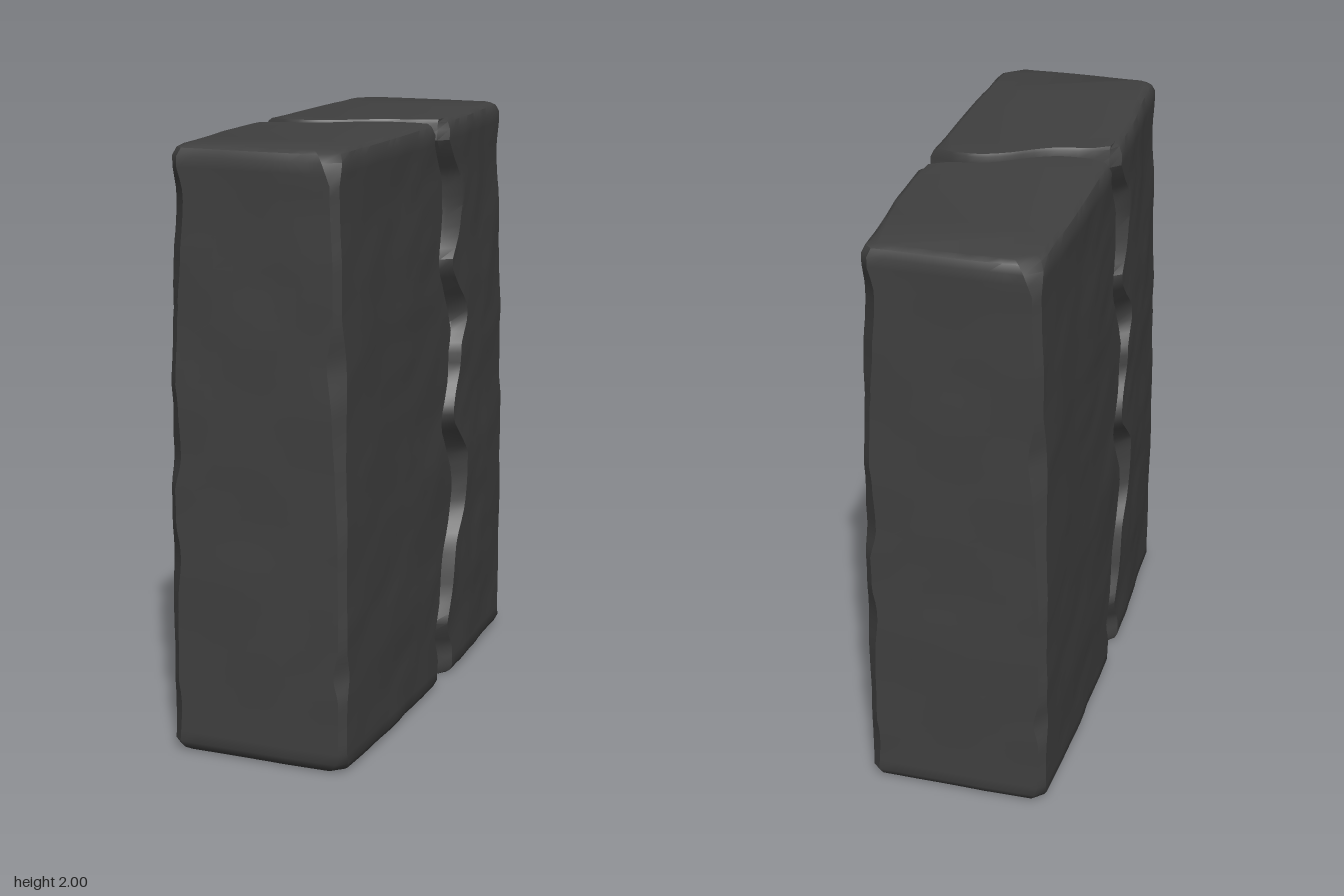
import * as THREE from 'three';
import { toCreasedNormals } from 'three/addons/utils/BufferGeometryUtils.js';

// Crack on the left face: height, z position, width of the broken lip
const CRACK = [
  [0, -0.09, 0.07], [0.1, -0.09, 0.08], [0.2, -0.045, 0.07], [0.3, -0.1, 0.05], [0.4, -0.12, 0.05],
  [0.5, -0.14, 0.06], [0.6, -0.19, 0.1], [0.7, -0.21, 0.1], [0.8, -0.19, 0.12], [0.87, -0.15, 0.09],
  [0.95, -0.1, 0.06], [1.0, -0.12, 0.05], [1.1, -0.18, 0.05], [1.2, -0.19, 0.05], [1.27, -0.225, 0.09],
  [1.33, -0.2, 0.12], [1.4, -0.15, 0.1], [1.5, -0.1, 0.06], [1.6, -0.13, 0.11], [1.7, -0.15, 0.13],
  [1.8, -0.145, 0.11], [1.87, -0.1, 0.08], [1.93, -0.065, 0.07], [2, -0.07, 0.08],
];
const GAP = 0.03;     // half width of the crack
const CORE = 0.17;    // half length of the glowing core

function crackAt(y) {
  let i = 0;
  while (i < CRACK.length - 2 && CRACK[i + 1][0] < y) i++;
  const [a, b] = [CRACK[i], CRACK[i + 1]];
  const t = THREE.MathUtils.clamp((y - a[0]) / (b[0] - a[0]), 0, 1);
  return { z: a[1] + (b[1] - a[1]) * t, lip: a[2] + (b[2] - a[2]) * t };
}

// Smooth seeded noise, -1 to 1
function hash(x, y, z) {
  const s = Math.sin(x * 127.1 + y * 311.7 + z * 74.7) * 43758.5453;
  return (s - Math.floor(s)) * 2 - 1;
}
function noise(x, y, z) {
  const i = [x, y, z].map(Math.floor);
  const f = [x - i[0], y - i[1], z - i[2]].map((t) => t * t * (3 - 2 * t));
  let sum = 0;
  for (let k = 0; k < 8; k++) {
    const c = [k & 1, (k >> 1) & 1, k >> 2];
    const w = c.reduce((p, on, n) => p * (on ? f[n] : 1 - f[n]), 1);
    sum += w * hash(i[0] + c[0], i[1] + c[1], i[2] + c[2]);
  }
  return sum;
}

// Skin a stack of closed loops (counter-clockwise from above) and cap both ends
function loft(loops) {
  const n = loops[0].length;
  const index = [];
  for (let r = 0; r < loops.length - 1; r++) {
    for (let j = 0; j < n; j++) {
      const k = (j + 1) % n;
      const a = r * n + j, b = r * n + k;
      index.push(a, b, b + n, a, b + n, a + n);
    }
  }
  const cap = (r, flip) => {
    const outline = loops[r].map((p) => new THREE.Vector2(p[0], -p[2]));
    for (const [a, b, c] of THREE.ShapeUtils.triangulateShape(outline, [])) {
      index.push(r * n + a, r * n + (flip ? c : b), r * n + (flip ? b : c));
    }
  };
  cap(0, true);
  cap(loops.length - 1, false);
  const g = new THREE.BufferGeometry();
  g.setAttribute('position', new THREE.Float32BufferAttribute(loops.flat(2), 3));
  g.setIndex(index);
  return toCreasedNormals(g, 0.6);
}

const pathZ = (x, zc) => zc * Math.sin((Math.PI / 2) * THREE.MathUtils.clamp(x / CORE, -1, 1));

// One horizontal section of the front half; edge = 1 at the bevelled top and bottom
function halfSection(y, edge) {
  const { z: zc, lip } = crackAt(y);
  const inset = 0.028 * edge;
  const width = 0.322 - 0.025 * Math.max(0, (y - 0.8) / 1.2) - inset;
  const front = 0.792 - inset;
  const nearLip = 0.022 + 0.012 * noise(y * 7, 3, 8) + inset * 0.5;
  const farLip = lip + inset * 0.5;
  const points = [];
  const add = (x, z, rough) => {
    const s = rough * (0.65 * noise(x * 5 + 9, y * 5, z * 5) + 0.35 * noise(x * 12, y * 12, z * 12 + 5));
    points.push([x + Math.sign(x) * s, y, z + s * 0.6]);
  };
  const sideX = (z) => width - 0.02 * (z / 0.79) ** 2;
  const chip = (side) => 0.022 + 0.03 * Math.max(0, noise(y * 6, side * 4, 2));
  const cl = chip(-1), cr = chip(1);
  const zl = -zc + GAP + farLip, zr = zc + GAP + nearLip;
  const steps = 14;
  // right face
  for (let i = 0; i <= steps; i++) {
    const z = THREE.MathUtils.lerp(zl, front - cl, i / steps);
    add(-sideX(z), z, 0.008);
  }
  // front face
  const w = sideX(front);
  for (let i = 0; i <= 9; i++) {
    add(THREE.MathUtils.lerp(-w + cl, w - cr, i / 9), front, 0.008);
  }
  // left face
  for (let i = 0; i <= steps; i++) {
    const z = THREE.MathUtils.lerp(front - cr, zr, i / steps);
    add(sideX(z), z, 0.008);
  }
  // broken inner face
  add(0.27, zc + GAP + nearLip * 0.6, 0.01);
  add(0.22, zc + GAP + nearLip * 0.2, 0.008);
  for (let i = 0; i <= 10; i++) {
    const x = CORE - (2 * CORE * i) / 10;
    add(x, pathZ(x, zc) + GAP + inset * 0.3, 0.004);
  }
  add(-0.22, -zc + GAP + farLip * 0.25, 0.01);
  add(-0.265, -zc + GAP + farLip * 0.55, 0.012);
  return points;
}

// One horizontal section of the core that fills the crack
function coreSection(y) {
  const zc = crackAt(y).z;
  const xs = Array.from({ length: 11 }, (_, i) => -CORE + (2 * CORE * i) / 10);
  const side = (x, d) => [x, y, pathZ(x, zc) + d];
  return [
    ...xs.map((x) => side(x, 0.045)),
    ...xs.reverse().map((x) => side(x, -0.045)),
  ];
}

export function createModel() {
  const stone = new THREE.MeshStandardMaterial({ color: 0x404040 });
  stone.name = 'darkStone';
  const glow = new THREE.MeshStandardMaterial({ color: 0xc81010 });
  glow.name = 'redCore';

  const model = new THREE.Group();
  model.name = 'crackedStoneBlock';

  // Two stone halves, the back one turned half way round
  const rows = [[0, 1], [0.012, 0.4], [0.035, 0]];
  for (let i = 1; i < 56; i++) rows.push([0.035 + (1.93 * i) / 56, 0]);
  rows.push([1.965, 0], [1.99, 0.4], [2, 1]);
  const halfGeometry = loft(rows.map(([y, edge]) => halfSection(y, edge)));
  ['frontHalf', 'backHalf'].forEach((name, i) => {
    const half = new THREE.Mesh(halfGeometry, stone);
    half.name = name;
    half.rotation.y = Math.PI * i;
    model.add(half);
  });

  // Red core inside the crack
  const coreRows = Array.from({ length: 57 }, (_, i) => coreSection(0.015 + (1.915 * i) / 56));
  const core = new THREE.Mesh(loft(coreRows), glow);
  core.name = 'crackCore';
  model.add(core);

  return model;
}
